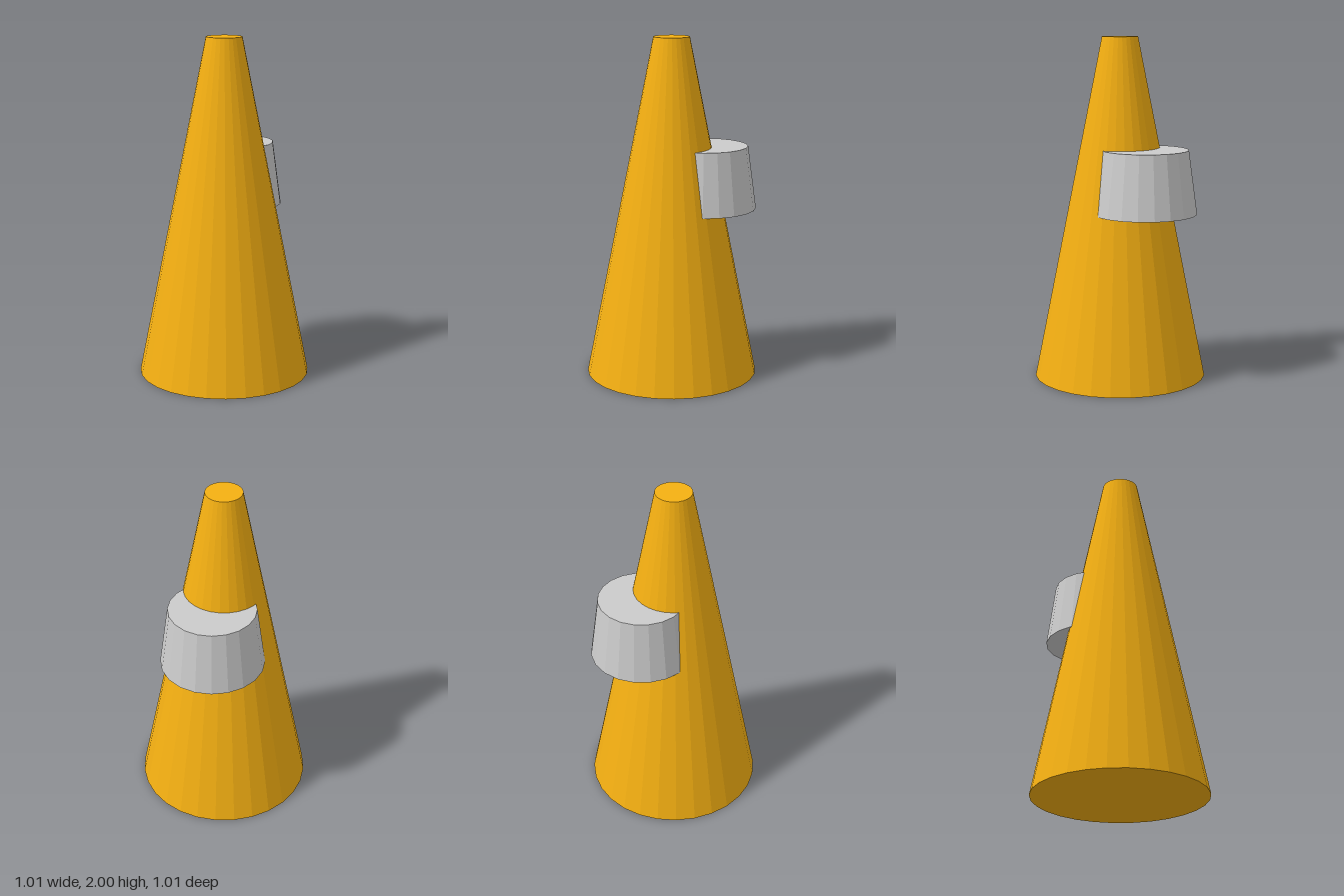
import * as THREE from 'three';

// Faceted, capped frustum standing on yBottom
function frustum(name, color, rTop, rBottom, yBottom, yTop, sides, z = 0) {
  const mesh = new THREE.Mesh(
    new THREE.CylinderGeometry(rTop, rBottom, yTop - yBottom, sides),
    new THREE.MeshStandardMaterial({ color, flatShading: true })
  );
  mesh.name = name;
  mesh.position.set(0, (yBottom + yTop) / 2, z);
  return mesh;
}

export function createModel() {
  const model = new THREE.Group();
  model.name = 'taperedTower';

  // Tall tapered body
  model.add(frustum('body', 0xf5b012, 0.105, 0.505, 0, 2, 28));

  // Short tapered drum set into the back of the body
  model.add(frustum('backDrum', 0xcccccc, 0.252, 0.302, 0.99, 1.36, 20, -0.203));

  return model;
}
